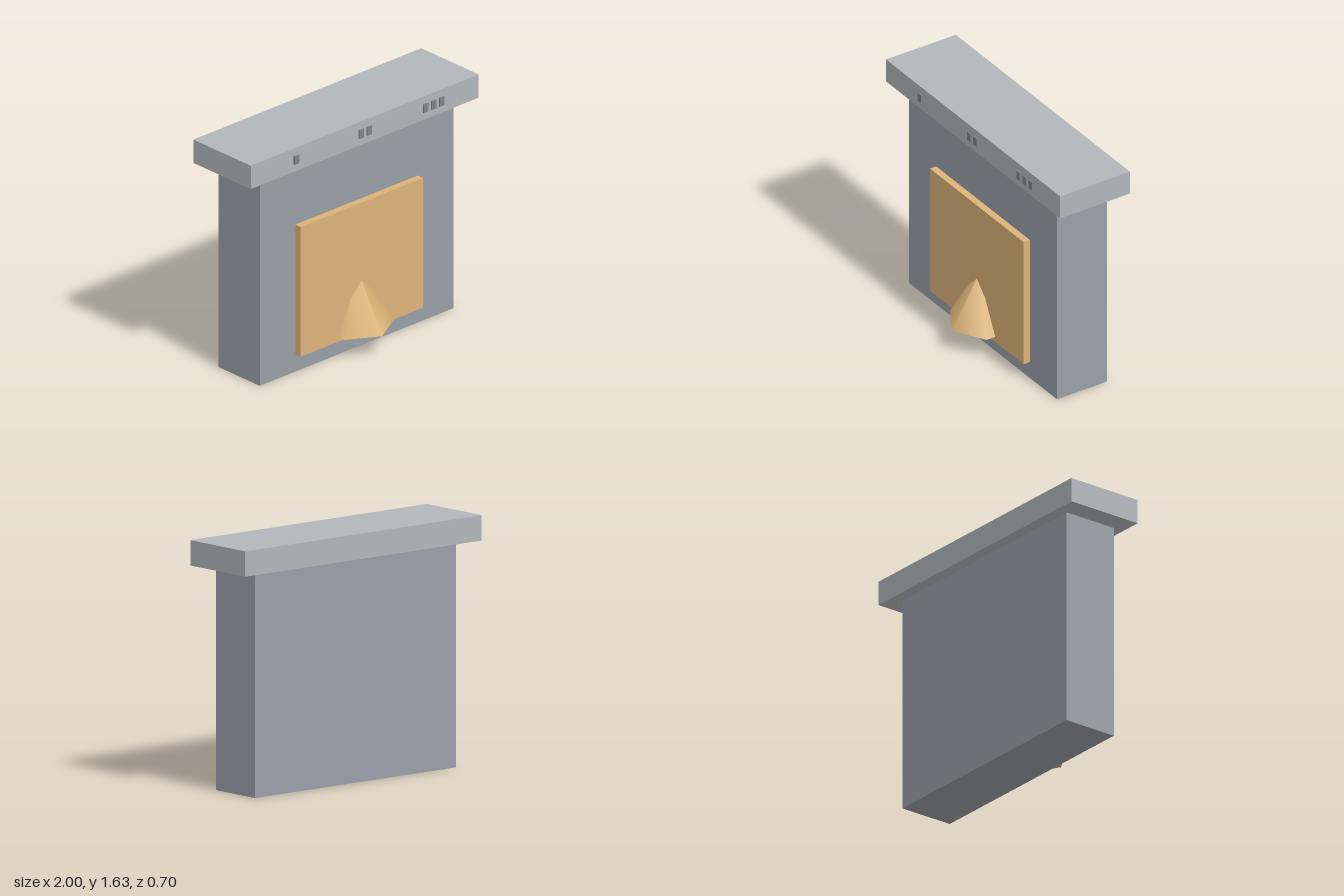
import * as THREE from 'three';

export function createModel() {
  const group = new THREE.Group();
  const paint = (color) => new THREE.MeshStandardMaterial({ color });
  const stone = paint(0x9a9fa8), slab = paint(0xb2b6bb), dark = paint(0x7e838c), tan = paint(0xdcb377);

  // Box given by its limits on each axis
  const box = (name, material, [x0, x1], [y0, y1], [z0, z1]) => {
    const mesh = new THREE.Mesh(new THREE.BoxGeometry(x1 - x0, y1 - y0, z1 - z0), material);
    mesh.position.set((x0 + x1) / 2, (y0 + y1) / 2, (z0 + z1) / 2);
    mesh.name = name;
    group.add(mesh);
  };

  // Chimney breast, mantel shelf and raised hearth panel
  box('chimneyBreast', stone, [-0.85, 0.85], [0, 1.468], [-0.272, 0.112]);
  box('mantelShelf', slab, [-1, 1], [1.468, 1.633], [-0.35, 0.188]);
  box('hearthPanel', tan, [-0.538, 0.538], [0.12, 1.04], [0.112, 0.16]);

  // Small blocks on the shelf front, in groups of one, two and three
  for (const x of [-0.603, -0.035, 0.035, 0.53, 0.6, 0.67]) {
    box('shelfBlock', dark, [x - 0.02, x + 0.02], [1.52, 1.58], [0.18, 0.198]);
  }

  // Six-sided flame cone, half sunk into the panel
  const height = 0.425;
  const flame = new THREE.Mesh(new THREE.ConeGeometry(0.245, height, 6), tan);
  flame.position.set(0, 0.158 + height / 2, 0.105);
  flame.name = 'flame';
  group.add(flame);

  return group;
}
